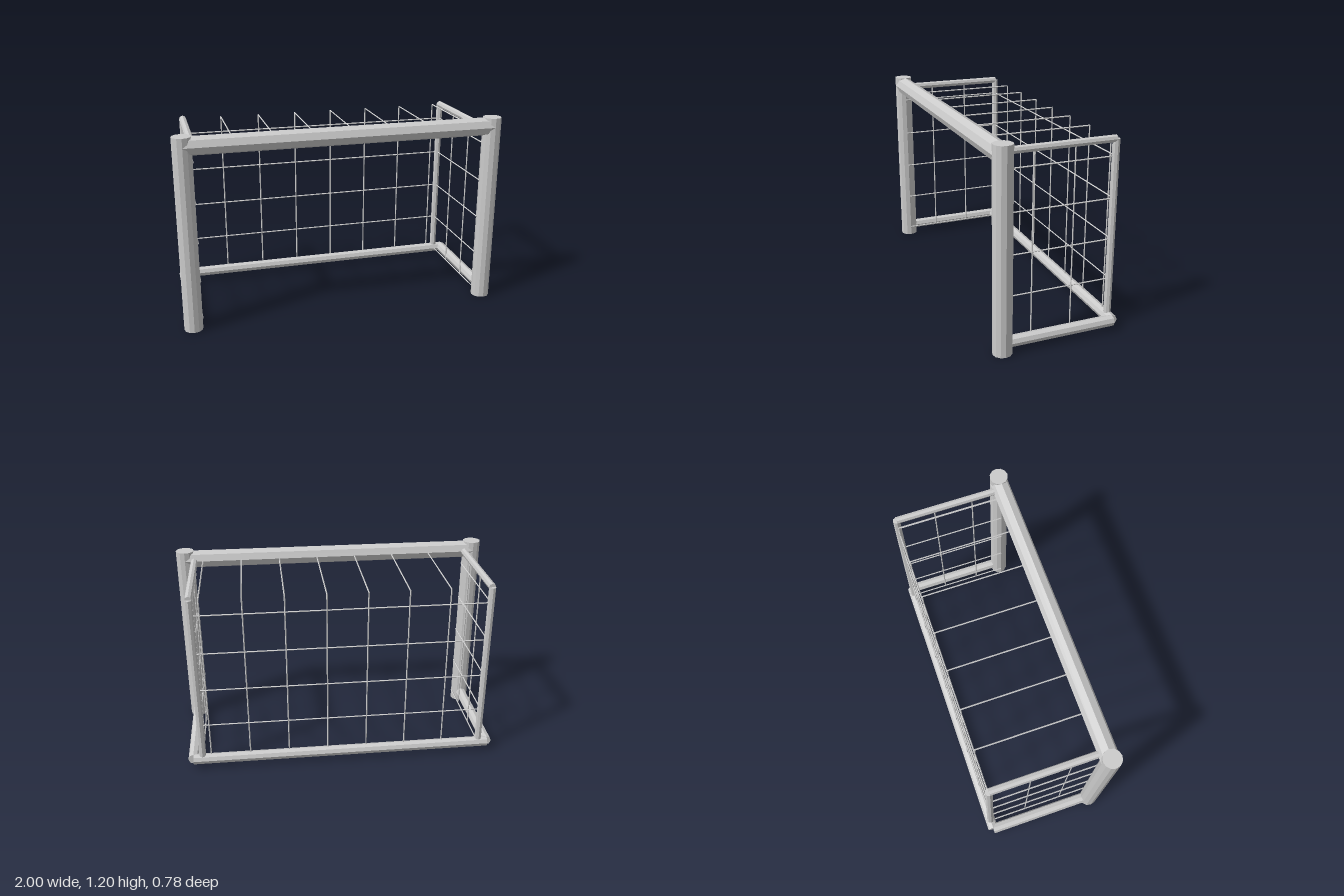
import * as THREE from 'three';

const material = new THREE.MeshStandardMaterial({ color: 0xcccccc, flatShading: true });
const UP = new THREE.Vector3(0, 1, 0);

// Straight faceted tube between two points
function bar(name, from, to, radius, sides) {
  const a = new THREE.Vector3(...from);
  const b = new THREE.Vector3(...to);
  const dir = b.clone().sub(a);
  const mesh = new THREE.Mesh(new THREE.CylinderGeometry(radius, radius, dir.length(), sides), material);
  mesh.name = name;
  mesh.position.copy(a).add(b).multiplyScalar(0.5);
  mesh.quaternion.setFromUnitVectors(UP, dir.normalize());
  return mesh;
}

export function createModel() {
  const goal = new THREE.Group();
  goal.name = 'footballGoal';

  const postX = 0.943, postZ = 0.332, postR = 0.057;
  const sideX = 0.885, backZ = -0.356;
  const baseY = 0.062, topY = 1.141;
  const baseR = 0.033, frameR = 0.022, wireR = 0.0045, cell = 0.245;

  // Front frame
  goal.add(bar('crossbar', [-postX, 1.143, postZ], [postX, 1.143, postZ], postR, 8));

  // Ground bar along the back
  goal.add(bar('backGroundBar', [-postX, baseY, backZ], [postX, baseY, backZ], baseR, 8));

  const net = new THREE.Group();
  net.name = 'net';
  goal.add(net);
  const wire = (name, from, to) => net.add(bar(name, from, to, wireR, 4));

  for (const [side, s] of [['left', 1], ['right', -1]]) {
    // Post, ground bar, rear upright and top bar of each side
    goal.add(bar(side + 'Post', [s * postX, 0, postZ], [s * postX, 1.2, postZ], postR, 12));
    goal.add(bar(side + 'GroundBar', [s * postX, baseY, postZ], [s * postX, baseY, backZ], baseR, 8));
    goal.add(bar(side + 'RearUpright', [s * sideX, baseY, backZ], [s * sideX, topY, backZ], frameR, 8));
    goal.add(bar(side + 'TopBar', [s * sideX, topY, postZ], [s * sideX, topY, backZ], frameR, 8));

    // Side net
    for (let z = backZ; z < postZ - 0.1; z += cell)
      wire(side + 'NetVertical', [s * sideX, baseY, z], [s * sideX, topY, z]);
    for (let y = baseY; y < topY; y += cell)
      wire(side + 'NetHorizontal', [s * sideX, y, postZ], [s * sideX, y, backZ]);
  }

  // Back net, with each vertical running on over the roof to the crossbar
  for (let x = -sideX; x < sideX; x += cell) {
    wire('backNetVertical', [x, baseY, backZ], [x, topY, backZ]);
    wire('roofNetStrand', [x, topY, backZ], [x, topY, postZ]);
  }
  for (let y = baseY; y < topY; y += cell)
    wire('backNetHorizontal', [-sideX, y, backZ], [sideX, y, backZ]);

  return goal;
}
